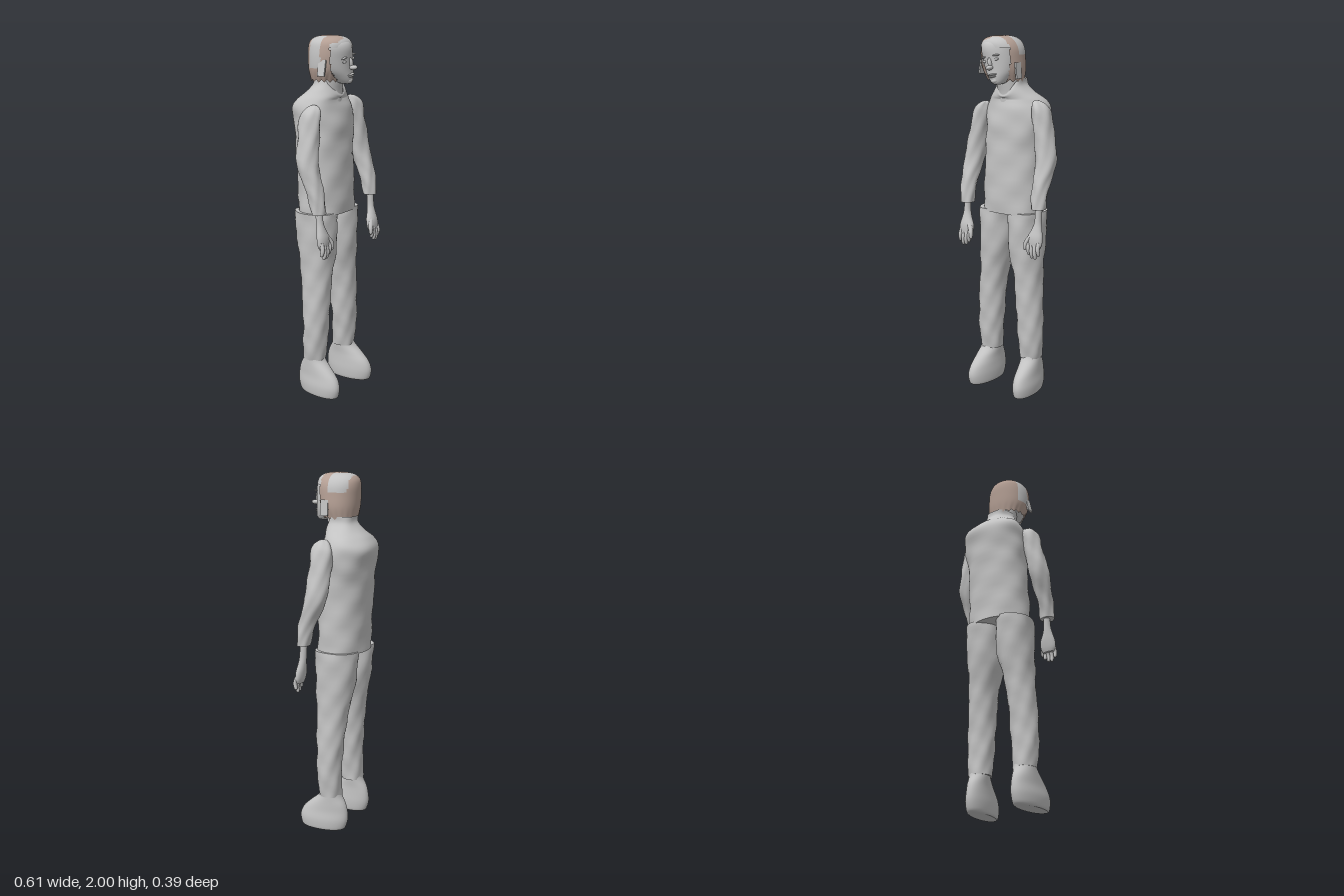
import * as THREE from 'three';

const grey = new THREE.MeshStandardMaterial({ color: 0xc2c2c2, side: THREE.DoubleSide });
grey.name = 'plain grey';
const brown = new THREE.MeshStandardMaterial({ color: 0xb49f94, side: THREE.DoubleSide });
brown.name = 'hair brown';

// Smooth interpolation through the cross-section rows
function refine(rows, steps) {
  const out = [];
  for (let i = 0; i < rows.length - 1; i++) {
    const p = rows[Math.max(i - 1, 0)], a = rows[i], b = rows[i + 1], q = rows[Math.min(i + 2, rows.length - 1)];
    for (let k = 0; k < steps; k++) {
      const t = k / steps;
      out.push(a.map((v, n) => v + 0.5 * t * (b[n] - p[n] + t * (2 * p[n] - 5 * v + 4 * b[n] - q[n] + t * (3 * (v - b[n]) + q[n] - p[n])))));
    }
  }
  out.push(rows[rows.length - 1]);
  return out;
}

// Loft of rows [y, cx, cz, rx, rz], listed from the bottom up.
// warp(v, angle) moves a vertex; pick(x, y, z) gives a material index, or -1 for a hole.
function loft(name, rows, { seg = 28, steps = 4, power = 2, caps = [true, true], warp, pick } = {}) {
  const rings = refine(rows, steps), pos = [], lists = [[], []];
  const bend = v => Math.sign(v) * Math.abs(v) ** (2 / power);
  const put = (row, a) => {
    const v = new THREE.Vector3(row[1] + row[3] * bend(Math.sin(a)), row[0], row[2] + row[4] * bend(Math.cos(a)));
    if (warp) warp(v, a);
    pos.push(v.x, v.y, v.z);
  };
  for (const row of rings) for (let j = 0; j < seg; j++) put(row, j / seg * Math.PI * 2);
  for (let i = 0; i < rings.length - 1; i++) for (let j = 0; j < seg; j++) {
    const a = i * seg + j, b = i * seg + (j + 1) % seg, c = b + seg, d = a + seg;
    const mid = k => (pos[a * 3 + k] + pos[c * 3 + k]) / 2;
    const m = pick ? pick(mid(0), mid(1), mid(2)) : 0;
    if (m >= 0) lists[m].push(a, b, c, a, c, d);
  }
  // End caps with their own ring, so the edge stays sharp
  caps.forEach((on, top) => {
    if (!on) return;
    const start = (top ? rings.length - 1 : 0) * seg, base = pos.length / 3;
    const centre = [0, 0, 0];
    for (let j = 0; j < seg; j++) for (let k = 0; k < 3; k++) {
      const v = pos[(start + j) * 3 + k];
      pos.push(v);
      centre[k] += v / seg;
    }
    pos.push(...centre);
    const m = pick ? Math.max(0, pick(...centre)) : 0;
    for (let j = 0; j < seg; j++) {
      const n = base + (j + 1) % seg;
      lists[m].push(base + seg, ...(top ? [base + j, n] : [n, base + j]));
    }
  });
  const g = new THREE.BufferGeometry();
  g.setAttribute('position', new THREE.Float32BufferAttribute(pos, 3));
  g.setIndex([...lists[0], ...lists[1]]);
  g.addGroup(0, lists[0].length, 0);
  g.addGroup(lists[0].length, lists[1].length, 1);
  g.computeVertexNormals();
  const mesh = new THREE.Mesh(g, pick ? [grey, brown] : grey);
  mesh.name = name;
  return mesh;
}

function blob(name, x, y, z, rx, ry, rz, tilt = 0) {
  const m = new THREE.Mesh(new THREE.SphereGeometry(1, 16, 10), grey);
  m.name = name;
  m.position.set(x, y, z);
  m.scale.set(rx, ry, rz);
  m.rotation.z = tilt;
  return m;
}

// Place rows on one side of the body
const sided = (rows, s, ox = 0, oy = 0) => rows.map(([y, x, z, rx, rz]) => [y + oy, ox + s * x, z, rx, rz]);

const wrinkle = (v, a) => {
  const r = 0.0022 * (Math.sin(v.y * 47 + a * 3) + Math.sin(v.y * 29 - a * 5));
  v.x += r * Math.sin(a);
  v.z += r * Math.cos(a);
};

function makeHead() {
  const head = new THREE.Group();
  head.name = 'head';
  head.add(loft('neck', [
    [1.64, -0.015, 0.02, 0.065, 0.055], [1.7, -0.015, 0.017, 0.062, 0.06],
    [1.76, -0.025, 0.03, 0.058, 0.06], [1.82, -0.035, 0.035, 0.06, 0.06]]));
  head.add(loft('face', [
    [1.748, -0.018, 0.11, 0.02, 0.03], [1.758, -0.02, 0.1, 0.038, 0.05],
    [1.785, -0.025, 0.083, 0.06, 0.072], [1.82, -0.032, 0.07, 0.08, 0.085],
    [1.875, -0.042, 0.06, 0.09, 0.098], [1.93, -0.053, 0.055, 0.09, 0.108],
    [1.965, -0.056, 0.05, 0.08, 0.1], [1.985, -0.057, 0.048, 0.05, 0.065]], { seg: 36 }));

  // Facial relief, leaning with the head
  head.add(blob('noseBridge', -0.037, 1.86, 0.155, 0.011, 0.03, 0.018, 0.2));
  head.add(blob('noseTip', -0.031, 1.836, 0.17, 0.017, 0.013, 0.025, 0.2));
  head.add(blob('upperLip', -0.025, 1.799, 0.152, 0.028, 0.006, 0.014, 0.2));
  head.add(blob('lowerLip', -0.024, 1.789, 0.149, 0.022, 0.006, 0.014, 0.2));
  head.add(blob('chin', -0.02, 1.767, 0.141, 0.022, 0.014, 0.014, 0.2));
  for (const s of [-1, 1]) {
    head.add(blob('eye', -0.041 + s * 0.038, 1.873 + s * 0.008, 0.147, 0.015, 0.007, 0.007, 0.2));
    head.add(blob('brow', -0.044 + s * 0.04, 1.894 + s * 0.008, 0.15, 0.024, 0.005, 0.009, 0.2 - s * 0.1));
  }

  // Hair shell, open over the face, with plain patches
  const patch = (x, y, z) => {
    if (z > 0.1) return y < 1.94 ? -1 : x < -0.06 && y > 1.965 && z < 0.13 ? 1 : 0;
    if (x < -0.1 && y > 1.83 && z > -0.03 && z < 0.05) return 0;
    const inner = ((x + 0.05) / 0.045) ** 2 + ((z - 0.045) / 0.065) ** 2 < 1;
    if (y > 1.9 && x > -0.09 && z > -0.055 && z < 0.045 && !inner) return 0;
    return 1;
  };
  head.add(loft('hair', [
    [1.765, -0.038, 0.016, 0.102, 0.086], [1.82, -0.042, 0.026, 0.118, 0.105],
    [1.88, -0.045, 0.032, 0.119, 0.115], [1.93, -0.046, 0.034, 0.114, 0.118],
    [1.965, -0.05, 0.036, 0.1, 0.112], [1.988, -0.052, 0.038, 0.074, 0.088],
    [1.998, -0.052, 0.038, 0.04, 0.05], [2.0, -0.052, 0.038, 0.012, 0.015]], {
    seg: 72, steps: 5, power: 2.15, caps: [false, true], pick: patch,
    warp: (v, a) => {
      const low = Math.max(0, (1.83 - v.y) / 0.07);
      v.y += low * 0.008 * Math.sin(a * 18);
    } }));

  // Side locks flaring out by the cheeks
  for (const s of [-1, 1]) {
    const lock = new THREE.Mesh(new THREE.BoxGeometry(0.009, 0.085, 0.045), grey);
    lock.name = 'sideLock';
    lock.position.set(-0.043 + s * 0.121, s < 0 ? 1.835 : 1.82, 0.062);
    lock.rotation.z = s < 0 ? -0.2 : 0.1;
    head.add(lock);
  }
  return head;
}

function makeHand(s) {
  const hand = new THREE.Group();
  hand.name = s > 0 ? 'leftHand' : 'rightHand';
  hand.add(loft('palm', sided([
    [0.885, 0.238, 0.128, 0.034, 0.014], [0.91, 0.238, 0.127, 0.046, 0.022],
    [0.95, 0.238, 0.122, 0.045, 0.026], [0.99, 0.243, 0.114, 0.03, 0.023],
    [1.04, 0.246, 0.106, 0.019, 0.02], [1.14, 0.246, 0.1, 0.02, 0.021]], s), { seg: 16 }));
  [0.85, 0.833, 0.83, 0.85].forEach((tip, i) => {
    const x = 0.205 + i * 0.021;
    hand.add(loft('finger', sided([
      [tip, x + 0.004, 0.139, 0.003, 0.004], [tip + 0.008, x + 0.004, 0.14, 0.009, 0.01],
      [tip + 0.04, x + 0.002, 0.144, 0.011, 0.012], [0.925, x, 0.13, 0.012, 0.015]], s), { seg: 10, steps: 3 }));
  });
  hand.add(loft('thumb', sided([
    [0.875, 0.188, 0.148, 0.004, 0.004], [0.885, 0.189, 0.148, 0.01, 0.01],
    [0.92, 0.194, 0.143, 0.013, 0.013], [0.965, 0.22, 0.125, 0.014, 0.014]], s), { seg: 10, steps: 3 }));
  return hand;
}

export function createModel() {
  const model = new THREE.Group();
  model.name = 'standingFigure';

  // Loose top with a dipped neckline
  model.add(loft('torso', [
    [1.04, -0.01, -0.018, 0.18, 0.133], [1.2, -0.01, -0.022, 0.177, 0.135],
    [1.4, -0.008, -0.034, 0.174, 0.138], [1.53, 0, -0.043, 0.184, 0.142],
    [1.61, 0, -0.055, 0.184, 0.141], [1.66, -0.004, -0.045, 0.16, 0.118],
    [1.7, -0.01, -0.02, 0.116, 0.098], [1.74, -0.012, -0.002, 0.082, 0.084],
    [1.775, -0.012, -0.004, 0.075, 0.08]], {
    seg: 48, steps: 5, power: 2.25, caps: [true, false],
    warp: (v, a) => {
      wrinkle(v, a);
      const t = Math.min(1, Math.max(0, (v.y - 1.66) / 0.11));
      v.y -= 0.085 * t * Math.max(0, Math.cos(a)) ** 3;
    } }));
  model.add(makeHead());

  for (const s of [-1, 1]) {
    const side = s > 0 ? 'left' : 'right';
    // Sleeves, the right one hanging a little lower and wider
    model.add(loft(side + 'Sleeve', sided([
      [1.1, 0.243, 0.105, 0.042, 0.036], [1.16, 0.243, 0.095, 0.043, 0.042],
      [1.24, 0.243, 0.072, 0.046, 0.05], [1.36, 0.241, 0.03, 0.057, 0.06],
      [1.5, 0.216, 0.018, 0.052, 0.062], [1.6, 0.197, 0.015, 0.049, 0.06],
      [1.64, 0.186, 0.018, 0.037, 0.046], [1.66, 0.174, 0.02, 0.02, 0.025],
      [1.666, 0.17, 0.02, 0.006, 0.008]], s, s < 0 ? -0.007 : 0, s < 0 ? -0.025 : 0), { warp: wrinkle }));
    model.add(makeHand(s));
    model.add(loft(side + 'TrouserLeg', sided([
      [0.205, 0.14, 0.002, 0.062, 0.062], [0.3, 0.142, 0.008, 0.07, 0.067],
      [0.42, 0.137, 0.01, 0.076, 0.07], [0.56, 0.13, 0.006, 0.075, 0.08],
      [0.7, 0.117, 0, 0.08, 0.09], [0.85, 0.1, -0.009, 0.097, 0.111],
      [1, 0.1, -0.016, 0.098, 0.122], [1.05, 0.1, -0.018, 0.097, 0.122]], s, -0.013), { seg: 32, power: 2.15, warp: wrinkle }));
    model.add(loft(side + 'Foot', sided([
      [0, 0.148, 0.046, 0.05, 0.118], [0.012, 0.148, 0.043, 0.059, 0.132],
      [0.06, 0.148, 0.04, 0.062, 0.143], [0.11, 0.146, 0.032, 0.057, 0.133],
      [0.155, 0.146, 0.016, 0.055, 0.105], [0.205, 0.143, 0.002, 0.056, 0.064],
      [0.25, 0.142, 0.003, 0.054, 0.055]], s, -0.013), {
      seg: 32, power: 2.1, warp: v => { v.x += s * 0.08 * v.z; } }));
  }
  return model;
}
